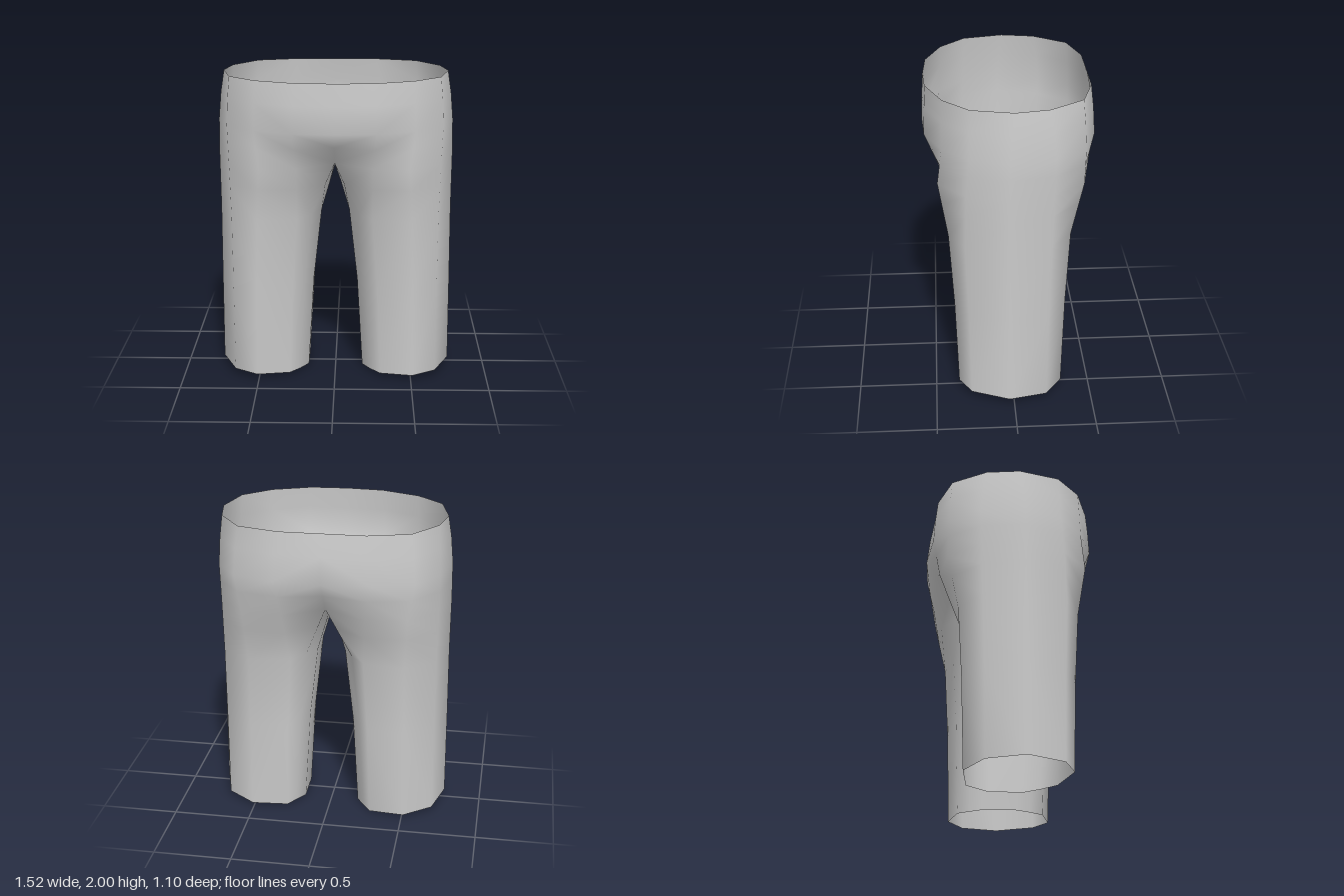
import * as THREE from 'three';
import { mergeVertices } from 'three/addons/utils/BufferGeometryUtils.js';

// Half cross-sections as [x, z], running from the inner front round the outside to the inner back.
// The first and last points line the inside of the leg and stop at the crotch.
const hem = [[.18, .09], [.235, .19], [.30, .28], [.51, .35], [.66, .27], [.76, .03], [.69, -.21], [.51, -.32], [.28, -.28], [.23, -.205], [.18, -.13]];
const thigh = [[.09, .09], [.15, .22], [.24, .345], [.49, .40], [.66, .30], [.755, .03], [.69, -.23], [.50, -.365], [.235, -.33], [.15, -.23], [.09, -.13]];
const crotch = [[0, .10], [0, .36], [.24, .44], [.47, .46], [.67, .29], [.758, .03], [.695, -.24], [.52, -.44], [.26, -.47], [0, -.37], [0, -.13]];
const hips = [[0, .55], [.26, .535], [.50, .43], [.68, .27], [.755, .03], [.70, -.25], [.56, -.44], [.30, -.52], [0, -.545]];
const waist = [[0, .535], [.24, .52], [.49, .42], [.66, .26], [.72, 0], [.68, -.21], [.53, -.42], [.27, -.495], [0, -.495]];

const v = (x, y, z) => new THREE.Vector3(x, y, z);
const section = (pts, yOf) => pts.map(([x, z], i) => v(x, yOf(x, z, i), z));
const blend = (a, b, t, y) => a.map((p, i) => {
  const q = p.clone().lerp(b[i], t);
  if (y !== undefined) q.y = y;
  return q;
});

function buildRows() {
  const hemRow = section(hem, (x, z) => Math.max(0, .035 * (x - .18) / .58 + .03 * z + .006));
  const thighRow = section(thigh, () => 1.1);
  // the seam dips between the legs and rises towards front and back
  const crotchRow = section(crotch, (x, z, i) => i === 0 || i === 10 ? 1.41 : i === 1 || i === 9 ? 1.47 : 1.45);
  const hipRow = section(hips, () => 1.69);
  const waistRow = section(waist, () => 2);
  const seat = crotchRow.slice(1, -1);
  return {
    leg: [hemRow, blend(hemRow, thighRow, .4, .62), thighRow, blend(thighRow, crotchRow, .6), crotchRow],
    torso: [seat, blend(seat, hipRow, .55), hipRow, blend(hipRow, waistRow, .4, 1.86), waistRow],
  };
}

function trouserGeometry() {
  const positions = [];
  const tri = (a, b, c) => {
    positions.push(...a.toArray(), ...b.toArray(), ...c.toArray());
    // mirrored half, wound the other way
    for (const p of [a, c, b]) positions.push(p.x === 0 ? 0 : -p.x, p.y, p.z);
  };
  const skin = (rows, closed) => {
    for (let r = 0; r + 1 < rows.length; r++) {
      const lo = rows[r], hi = rows[r + 1], n = lo.length;
      for (let i = 0; i < (closed ? n : n - 1); i++) {
        const j = (i + 1) % n;
        tri(lo[i], lo[j], hi[j]);
        tri(lo[i], hi[j], hi[i]);
      }
    }
  };
  const { leg, torso } = buildRows();
  skin(leg, true);
  skin(torso, false);
  let geo = new THREE.BufferGeometry();
  geo.setAttribute('position', new THREE.Float32BufferAttribute(positions, 3));
  geo = mergeVertices(geo, 1e-4);
  geo.computeVertexNormals();
  return geo;
}

export function createModel() {
  const group = new THREE.Group();
  group.name = 'trousers';
  // one continuous open cloth shell: two legs joined to the waist
  const shell = new THREE.Mesh(
    trouserGeometry(),
    new THREE.MeshStandardMaterial({ color: 0xcccccc, side: THREE.DoubleSide })
  );
  shell.name = 'trouserShell';
  group.add(shell);
  return group;
}
